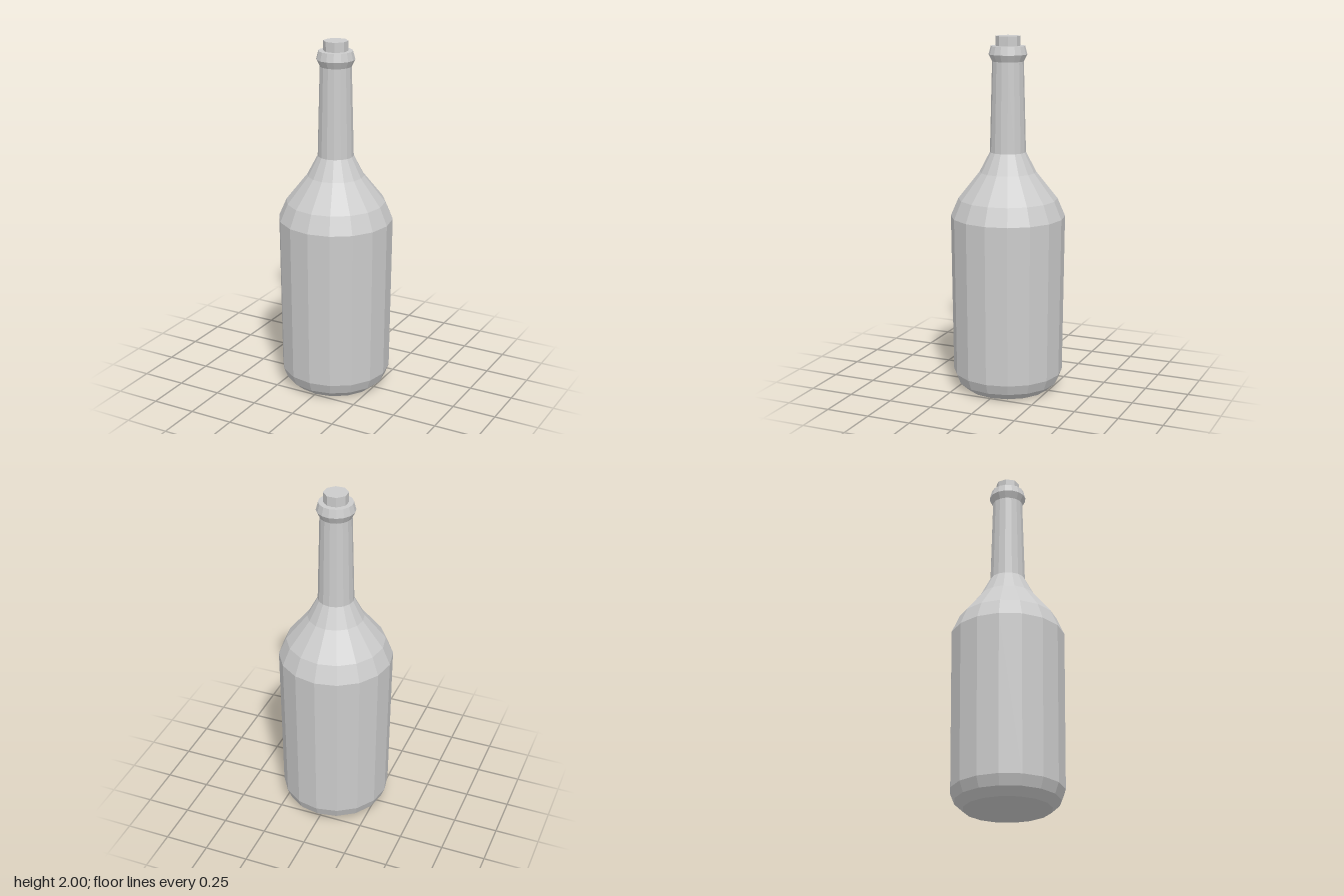
import * as THREE from 'three';

export function createModel() {
  const group = new THREE.Group();
  const material = new THREE.MeshStandardMaterial({ color: 0xcccccc, flatShading: true });

  // Bottle: sixteen-sided turned profile, from the base up over the lip and into the mouth
  const profile = [
    [0, 0], [0.24, 0], [0.287, 0.042], [0.31, 0.1], // base
    [0.32, 1.0], [0.277, 1.1], [0.158, 1.25], [0.1, 1.362], // body and shoulder
    [0.087, 1.862], [0.106, 1.9], [0.094, 1.946], // neck and lip
    [0.065, 1.946], [0.065, 1.86], [0, 1.86], // mouth
  ].map(([r, y]) => new THREE.Vector2(r, y));
  const bottle = new THREE.Mesh(new THREE.LatheGeometry(profile, 16), material);
  bottle.name = 'bottle';
  group.add(bottle);

  // Cork: eight-sided stopper with flats facing the axes
  const cork = new THREE.Mesh(new THREE.CylinderGeometry(0.068, 0.068, 0.13, 8), material);
  cork.name = 'cork';
  cork.position.y = 1.935;
  cork.rotation.y = Math.PI / 8;
  group.add(cork);

  return group;
}
